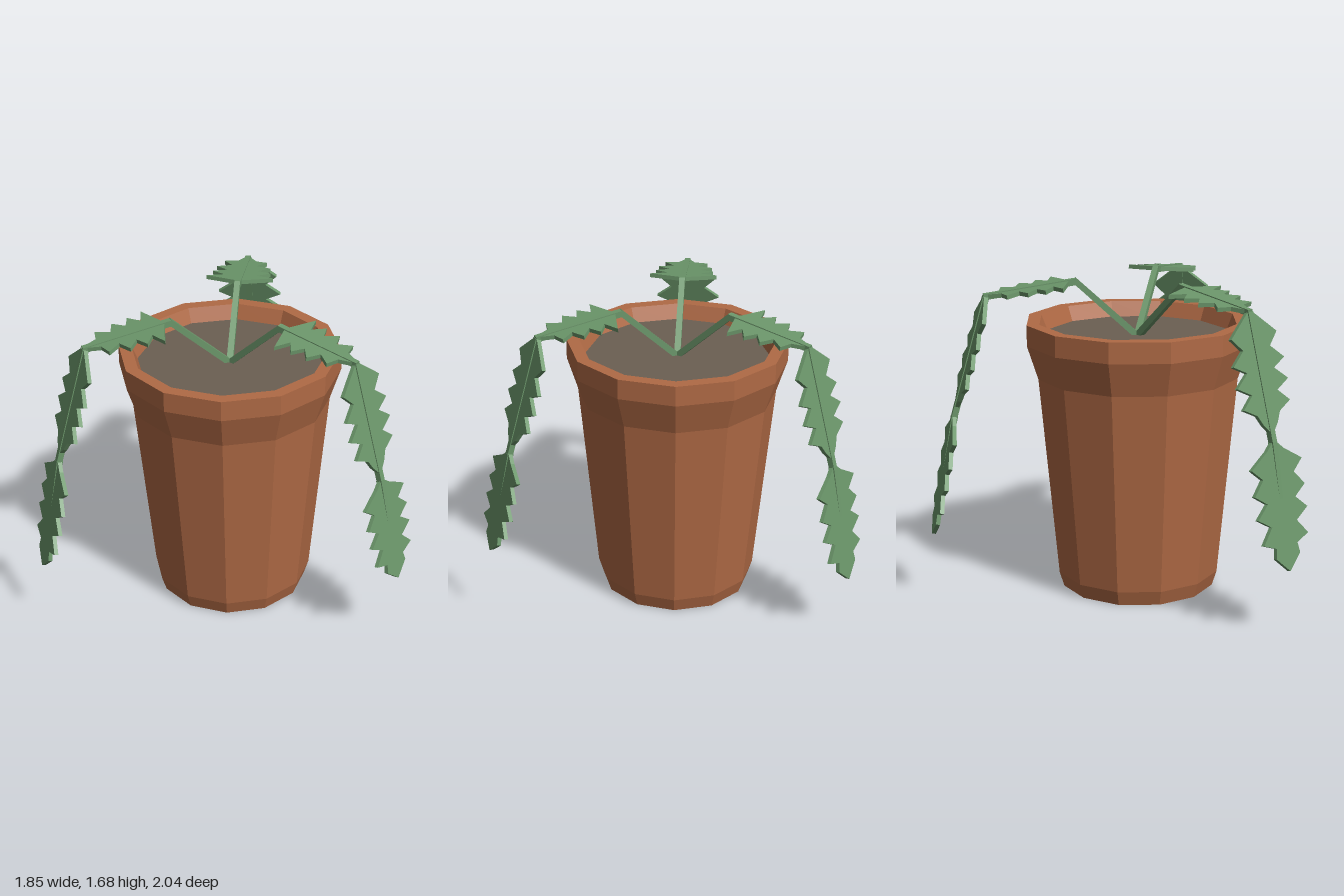
import * as THREE from 'three';

const terracotta = new THREE.MeshStandardMaterial({ color: 0xb06a45 });
terracotta.name = 'terracotta';
const leafGreen = new THREE.MeshStandardMaterial({ color: 0x6b966a });
leafGreen.name = 'leafGreen';
const soilBrown = new THREE.MeshStandardMaterial({ color: 0x6b5f53 });
soilBrown.name = 'soilBrown';

const SIDES = 12;
const SOIL_Y = 1.37;
const THICK = 0.022;

// Faceted mesh: every face gets its own normal.
function flatMesh(name, geometry, material) {
  const g = geometry.index ? geometry.toNonIndexed() : geometry;
  g.computeVertexNormals();
  const mesh = new THREE.Mesh(g, material);
  mesh.name = name;
  return mesh;
}

// Half outlines of the toothed pads: [half width, fraction along the segment].
const PADS = {
  upperPad: [[0.015, 0.08], [0.08, 0.13], [0.185, 0.21], [0.09, 0.28], [0.16, 0.39], [0.085, 0.46],
    [0.15, 0.58], [0.07, 0.65], [0.12, 0.8], [0.045, 0.84], [0.015, 0.98]],
  middlePad: [[0.015, 0.0], [0.08, 0.08], [0.16, 0.18], [0.095, 0.28], [0.18, 0.385], [0.095, 0.45],
    [0.18, 0.55], [0.09, 0.62], [0.165, 0.715], [0.08, 0.78], [0.05, 0.86], [0.015, 0.92]],
  lowerPad: [[0.015, 0.0], [0.06, 0.06], [0.18, 0.17], [0.11, 0.26], [0.18, 0.37], [0.1, 0.45],
    [0.178, 0.55], [0.09, 0.63], [0.16, 0.75], [0.075, 0.8], [0.085, 0.88], [0.0, 1.0]],
};

// Flat toothed plate, mirrored about its midrib and running along +y.
function padGeometry(profile, length) {
  const right = profile.map(([w, t]) => new THREE.Vector2(w, t * length));
  const left = profile.filter(([w]) => w > 0).reverse()
    .map(([w, t]) => new THREE.Vector2(-w, t * length));
  const g = new THREE.ExtrudeGeometry(new THREE.Shape([...right, ...left]),
    { depth: THICK, bevelEnabled: false });
  return g.translate(0, 0, -THICK / 2);
}

// One arching branch in its own x-y plane: a bent stem carrying three pads.
function createBranch(angle, tipY) {
  const branch = new THREE.Group();
  branch.name = 'branch';
  const path = [[0, SOIL_Y - 0.01], [0.33, 1.665], [0.8, 1.605], [0.98, 0.98], [1.108, tipY]]
    .map(([x, y]) => new THREE.Vector3(x, y, 0));
  const names = [null, 'upperPad', 'middlePad', 'lowerPad'];
  const side = new THREE.Vector3(0, 0, 1);
  for (let i = 0; i < 4; i++) {
    const along = path[i + 1].clone().sub(path[i]);
    const length = along.length();
    along.normalize();
    const segment = new THREE.Group();
    segment.name = i === 0 ? 'baseSegment' : names[i] + 'Segment';
    segment.quaternion.setFromRotationMatrix(
      new THREE.Matrix4().makeBasis(side, along, side.clone().cross(along)));
    segment.position.copy(path[i]);

    // Square stem or midrib, tapering out before the tip on the last pad
    const last = i === 3;
    const ribLength = last ? length * 0.93 : length + 0.012;
    const rib = new THREE.CylinderGeometry(last ? 0.006 : 0.022, 0.024, ribLength, 4, 1);
    rib.rotateY(Math.PI / 4).translate(0, ribLength / 2, 0);
    segment.add(flatMesh(i === 0 ? 'stem' : 'midrib', rib, leafGreen));

    if (names[i]) segment.add(flatMesh(names[i], padGeometry(PADS[names[i]], length), leafGreen));
    branch.add(segment);
  }
  branch.rotation.y = -angle;
  return branch;
}

export function createModel() {
  const model = new THREE.Group();
  model.name = 'pottedPlant';
  const plant = new THREE.Group();
  plant.name = 'plantAndPot';
  plant.position.set(-0.2, 0, 0.02);
  model.add(plant);

  // Pot: closed base, tapered wall, flared rim and inner lip
  const profile = [[0, 0], [0.415, 0], [0.44, 0.08], [0.54, 1.16], [0.598, 1.34],
    [0.598, 1.45], [0.53, 1.45], [0.49, SOIL_Y - 0.02]].map(([r, y]) => new THREE.Vector2(r, y));
  plant.add(flatMesh('pot', new THREE.LatheGeometry(profile, SIDES), terracotta));

  // Soil surface
  const soil = new THREE.CircleGeometry(0.497, SIDES).rotateX(-Math.PI / 2).translate(0, SOIL_Y, 0);
  plant.add(flatMesh('soil', soil, soilBrown));

  // Three branches spread evenly around the centre
  [0.42, 0.342, 0.342].forEach((tipY, i) => {
    plant.add(createBranch(0.059 + i * Math.PI * 2 / 3, tipY));
  });
  return model;
}
